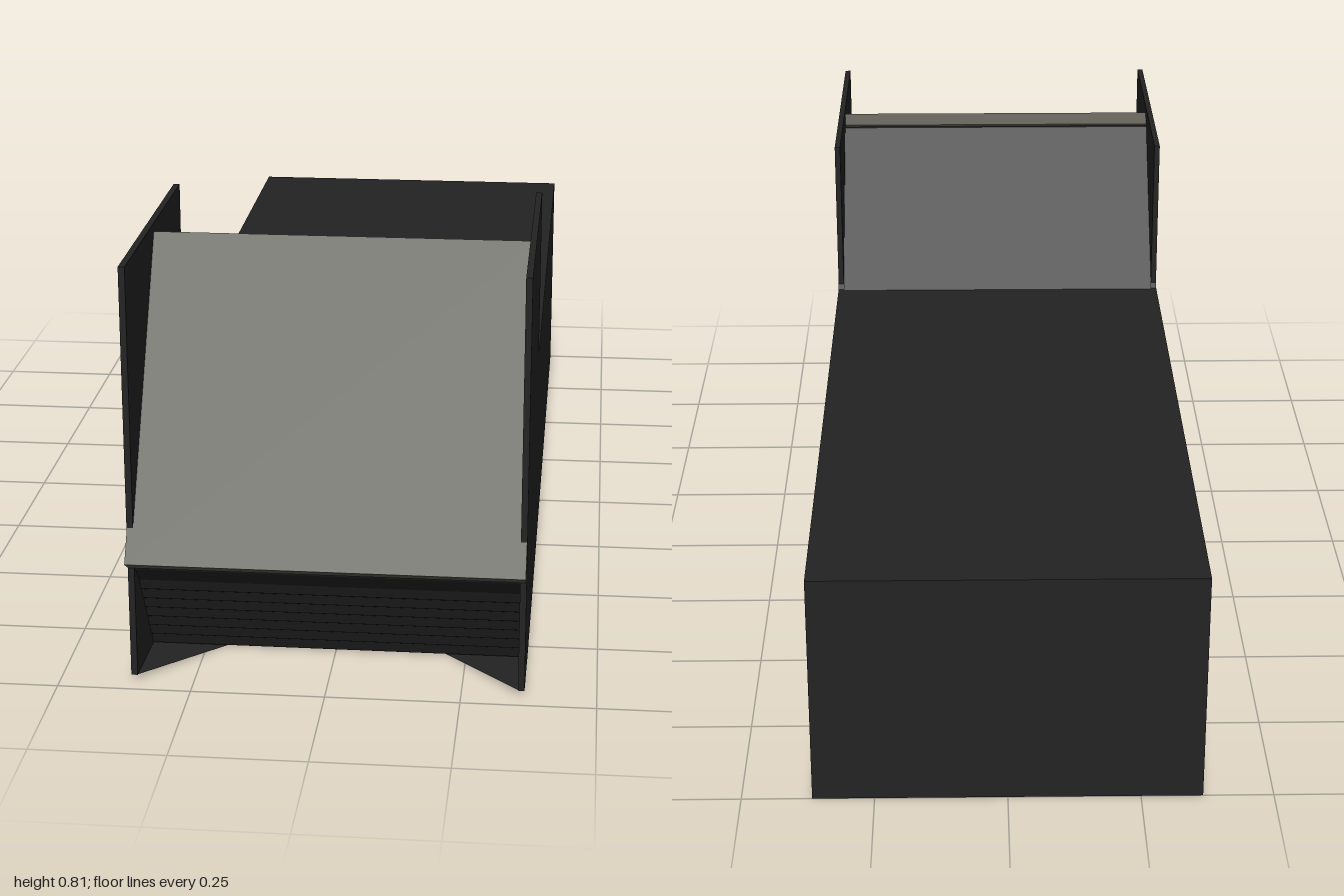
import * as THREE from 'three';

const dark = new THREE.MeshStandardMaterial({ color: 0x232323, side: THREE.DoubleSide });
dark.name = 'charcoal casing';
const light = new THREE.MeshStandardMaterial({ color: 0x5a5a51 });
light.name = 'grey green panel';

const HALF = 0.367;   // outer half width
const INNER = 0.355;  // inside of the side plates

// Extrude a [z, y] profile across x, centred on cx
function extrudeAcross(name, points, width, cx, material) {
  const shape = new THREE.Shape(points.map(([z, y]) => new THREE.Vector2(z, y)));
  const geo = new THREE.ExtrudeGeometry(shape, { depth: width, bevelEnabled: false });
  geo.rotateY(-Math.PI / 2);
  geo.translate(cx + width / 2, 0, 0);
  const mesh = new THREE.Mesh(geo, material);
  mesh.name = name;
  return mesh;
}

export function createModel() {
  const model = new THREE.Group();
  model.name = 'consoleCabinet';

  // Louvred front: shallow saw-tooth steps leaning back towards the floor
  const louvres = [];
  const count = 7;
  for (let i = 0; i < count; i++) {
    const t = i / count;
    const y = 0.186 * (1 - t);
    const z = 0.797 + 0.123 * (1 - t);
    louvres.push([z, y], [z - 0.0115, y - 0.0235]);
  }

  // Main body, with the sloping back of the raised head
  const body = [
    [-1, 0], [-1, 0.465], [0.37, 0.465], [0.64, 0.768],
    [0.655, 0.768], [0.965, 0.24], [0.955, 0.222],
    ...louvres, [0.797, 0],
  ];
  model.add(extrudeAcross('body', body, INNER * 2, 0, dark));

  // Side plates, rising beside the sloping panel
  const plate = [
    [-1, 0], [0.78, 0], [0.965, 0.012], [0.965, 0.807],
    [0.385, 0.807], [0.385, 0.475], [0.375, 0.465], [-1, 0.465],
  ];
  for (const side of [-1, 1]) {
    model.add(extrudeAcross(side > 0 ? 'leftSidePlate' : 'rightSidePlate',
      plate, HALF - INNER, side * (HALF + INNER) / 2, dark));

    // Small gusset between floor and plate
    const gusset = new THREE.BufferGeometry();
    gusset.setAttribute('position', new THREE.Float32BufferAttribute([
      side * 0.36, 0.011, 0.965, side * 0.21, 0, 0.797, side * 0.36, 0, 0.79,
    ], 3));
    gusset.setIndex(side > 0 ? [0, 1, 2] : [0, 2, 1]);
    gusset.computeVertexNormals();
    const mesh = new THREE.Mesh(gusset, dark);
    mesh.name = side > 0 ? 'leftFloorGusset' : 'rightFloorGusset';
    model.add(mesh);
  }

  // Sloping front panel, its lower lip poking out past the plates
  const panel = [[1, 0.25], [0.675, 0.791], [0.645, 0.773], [0.966, 0.229]];
  model.add(extrudeAcross('slopingPanel', panel, 0.7325, 0, light));

  return model;
}
